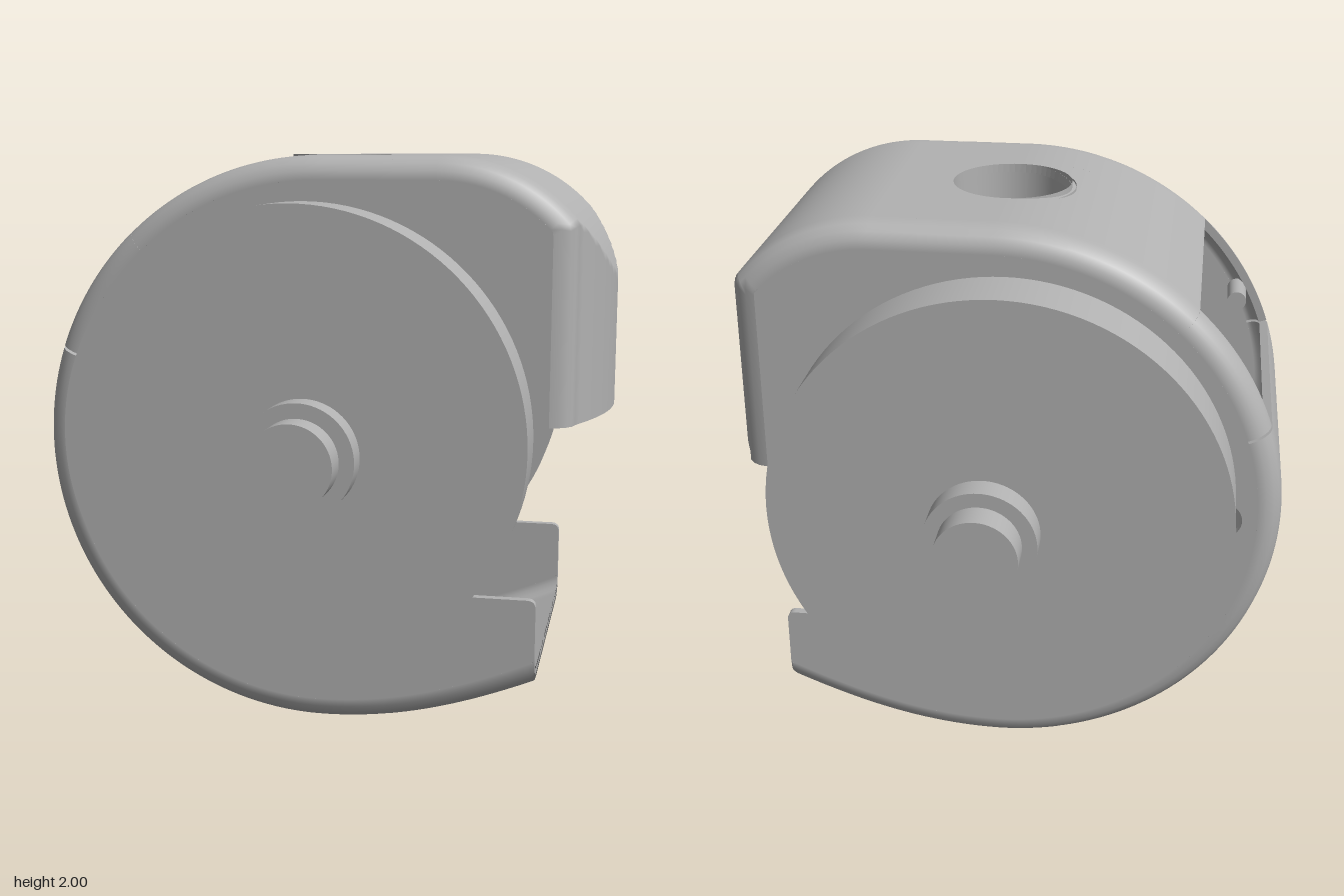
import * as THREE from 'three';

const grey = new THREE.MeshStandardMaterial({ color: 0xb2b2b2, side: THREE.DoubleSide });
grey.name = 'plain grey';

const AXLE_Y = 1.035;
const HALF = 0.55;              // half width of the housing
const ROUND = 0.08;             // edge rounding
const WALL = 0.03;              // wall thickness
const FLAT = HALF - ROUND;
const V_END = FLAT + ROUND * Math.PI / 2;

// Side outline of the housing, from the upper lip round the back to the lower lip
const outline = new THREE.Path();
outline.moveTo(1, 1.12);
outline.lineTo(1, 1.4);
outline.absarc(0.4, 1.4, 0.6, 0, Math.PI / 2, false);
outline.lineTo(0, 2);
outline.absarc(0, 1.025, 0.975, Math.PI / 2, Math.PI * 1.5, false);
outline.bezierCurveTo(0.3, 0.05, 0.55, 0.14, 0.8, 0.25);
const LEN = outline.getLength();
const TOP_S = 0.28 + 0.3 * Math.PI + 0.4;
const BOTTOM_S = TOP_S + 0.975 * Math.PI;

// Bowed front face of the upper lip, as seen in plan
function bow(z) {
  const a = Math.abs(z);
  const e = Math.min(Math.max((a - FLAT) / ROUND, 0), 1);
  return 0.97 - 0.5 * Math.min(a, FLAT) ** 2 - ROUND * (1 - Math.sqrt(1 - e * e));
}

// Point and normal of the skin: s along the outline, v across it, d below the surface
function skin(s, v, d) {
  const t = Math.min(Math.max(s / LEN, 0), 1);
  const c = outline.getPoint(t), g = outline.getTangent(t);
  const a = Math.max(Math.abs(v) - FLAT, 0) / ROUND, side = Math.sign(v);
  const off = -ROUND + (ROUND - d) * Math.cos(a);
  const p = new THREE.Vector3(c.x + g.y * off, c.y - g.x * off,
    a > 0 ? side * (FLAT + (ROUND - d) * Math.sin(a)) : v);
  const n = new THREE.Vector3(g.y * Math.cos(a), -g.x * Math.cos(a), side * Math.sin(a));
  if (p.y > 1 && p.x > bow(p.z) - d) {
    p.x = bow(p.z) - d;
    const h = 0.002;
    n.set(1, 0, -(bow(p.z + h) - bow(p.z - h)) / (2 * h)).normalize();
  } else if (p.y < 1 && p.x > 0.75) p.x = 0.75;
  return { p, n };
}

// Thick curved panel over a patch of the skin; map turns (a, b) in 0..1 into [s, v]
function panel(map, na, nb) {
  const pos = [], nor = [];
  const at = (i, j, d) => skin(...map(i / na, j / nb), d);
  const put = (q, flip) => { pos.push(...q.p.toArray()); nor.push(...q.n.clone().multiplyScalar(flip).toArray()); };
  const quad = (A, B, C, D, f) => [A, B, C, A, C, D].forEach((q) => put(q, f));
  for (let i = 0; i < na; i++) for (let j = 0; j < nb; j++) {
    const o = [[i, j], [i + 1, j], [i + 1, j + 1], [i, j + 1]];
    quad(...o.map(([x, y]) => at(x, y, 0)), 1);
    quad(...o.reverse().map(([x, y]) => at(x, y, WALL)), -1);
  }
  const rim = [];
  for (let i = 0; i < na; i++) rim.push([i, 0]);
  for (let j = 0; j < nb; j++) rim.push([na, j]);
  for (let i = na; i > 0; i--) rim.push([i, nb]);
  for (let j = nb; j > 0; j--) rim.push([0, j]);
  rim.forEach((r, k) => {
    const q = rim[(k + 1) % rim.length];
    const c = [at(...r, WALL), at(...q, WALL), at(...q, 0), at(...r, 0)];
    const n = c[1].p.clone().sub(c[0].p).cross(c[3].p.clone().sub(c[0].p)).normalize();
    quad(...c.map(({ p }) => ({ p, n })), 1);
  });
  const geo = new THREE.BufferGeometry();
  geo.setAttribute('position', new THREE.Float32BufferAttribute(pos, 3));
  geo.setAttribute('normal', new THREE.Float32BufferAttribute(nor, 3));
  return geo;
}

function add(parent, name, geo, x = 0, y = 0, z = 0) {
  const m = new THREE.Mesh(geo, grey);
  m.name = name;
  m.position.set(x, y, z);
  parent.add(m);
  return m;
}

const cyl = (r, h, n = 64) => new THREE.CylinderGeometry(r, r, h, n);
const cylZ = (r, h) => cyl(r, h, 72).rotateX(Math.PI / 2);

function housing() {
  const g = new THREE.Group();
  g.name = 'housing';
  const B = 0.25;
  const strip = (name, s0, s1, v0, v1) => add(g, name,
    panel((a, b) => [s0 + (s1 - s0) * a, v0 + (v1 - v0) * b],
      Math.ceil((s1 - s0) / 0.03), Math.max(8, Math.ceil((v1 - v0) / 0.03))));
  const slot0 = TOP_S + 0.732, slot1 = TOP_S + 1.215;
  strip('upperLip', 0, TOP_S - B, -V_END, V_END);
  strip('upperBack', TOP_S + B, slot0, -V_END, V_END);
  strip('backShell', slot1, BOTTOM_S - B, -V_END, V_END);
  strip('lowerLip', BOTTOM_S + B, LEN, -V_END, V_END);
  // strips beside the round holes, and square patches holding the holes
  for (const s of [TOP_S, BOTTOM_S]) {
    strip('holeSide', s - B, s + B, -V_END, -B);
    strip('holeSide', s - B, s + B, B, V_END);
    add(g, 'holeSurround', panel((a, b) => {
      const c = Math.cos(b * 2 * Math.PI), n = Math.sin(b * 2 * Math.PI);
      const r = 0.205 * (1 - a) + a * B / Math.max(Math.abs(c), Math.abs(n));
      return [s + r * c, r * n];
    }, 3, 64));
  }
  // narrow edges beside the back slot, ending in a fine slit
  strip('slotSide', slot0, slot1 - 0.01, -V_END, -FLAT);
  strip('slotSide', slot0, slot1 - 0.01, FLAT, V_END);

  // side walls with a large open centre
  const pts = [];
  for (let i = 0; i <= 180; i++) {
    const { p } = skin(LEN * i / 180, V_END, 0);
    pts.push(new THREE.Vector2(p.x, p.y));
  }
  const wall = new THREE.Shape(pts);
  wall.lineTo(0.75, 0.5);
  wall.quadraticCurveTo(0.75, 0.53, 0.72, 0.53);
  wall.absarc(0, 1.025, 0.68, 2 * Math.PI - 0.815, 0.14, true);
  const peep = new THREE.Path();
  peep.absarc(-0.78, 1.02, 0.065, 0, Math.PI * 2, true);
  wall.holes.push(peep);
  const geo = new THREE.ExtrudeGeometry(wall, { depth: WALL, bevelEnabled: false, curveSegments: 64 });
  for (const s of [-1, 1]) {
    add(g, 'sideWall', geo, 0, 0, s > 0 ? HALF - WALL : -HALF);
    add(g, 'slotPeg', cylZ(0.035, 0.15), -0.8, 1.46, s * 0.43);
  }
  return g;
}

// Bevel gear with its teeth pointing up and inwards
function bevelGear() {
  const tip = [[0, -0.475], [0.41, -0.475], [0.51, -0.385], [0.42, -0.225], [0.25, -0.29], [0, -0.29]];
  const root = { 2: [0.43, -0.46], 3: [0.33, -0.3] };
  const teeth = 20;
  const geo = new THREE.LatheGeometry(tip.map((p) => new THREE.Vector2(...p)), teeth * 4);
  const pos = geo.attributes.position;
  for (let k = 0; k < pos.count; k++) {
    const col = Math.floor(k / tip.length), j = k % tip.length;
    if (col % 4 > 1 || !root[j]) continue;
    const a = col / (teeth * 4) * Math.PI * 2;
    pos.setXYZ(k, Math.sin(a) * root[j][0], root[j][1], Math.cos(a) * root[j][0]);
  }
  const flat = geo.toNonIndexed();
  flat.computeVertexNormals();
  return flat;
}

// Gear, nut, shaft and recessed cup hanging below the axle
function gearAssembly() {
  const g = new THREE.Group();
  g.name = 'gearAssembly';
  add(g, 'bevelGear', bevelGear());
  add(g, 'gearHub', cyl(0.13, 0.06), 0, -0.5, 0);
  const nut = cyl(0.2, 0.19, 6).toNonIndexed();
  nut.computeVertexNormals();
  add(g, 'hexNut', nut, 0, -0.605, 0);
  add(g, 'gearShaft', cyl(0.075, 0.5), 0, -0.6, 0);
  const cup = [[0.205, -0.965], [0.205, -0.8], [0.11, -0.8], [0.11, -0.765], [0.22, -0.765], [0.22, -0.95]];
  cup.slice(0, -1).forEach((p, i) => add(g, 'recessCup',
    new THREE.LatheGeometry([new THREE.Vector2(...p), new THREE.Vector2(...cup[i + 1])], 64)));
  return g;
}

export function createModel() {
  const model = new THREE.Group();
  model.name = 'gearedWheelUnit';
  model.add(housing());

  // Axle, wheels and end caps
  add(model, 'axleSleeve', cylZ(0.245, 0.72), 0, AXLE_Y, 0);
  add(model, 'axle', cylZ(0.19, 1.69), 0, AXLE_Y, 0);
  add(model, 'axleEnds', cylZ(0.14, 1.89), 0, AXLE_Y, 0);
  for (const s of [-1, 1]) {
    add(model, 'wheel', new THREE.CylinderGeometry(0.775, 0.775, 0.205, 128).rotateX(Math.PI / 2),
      -0.045, 1.075, s * 0.6535);
  }

  // Lower and upper gears
  const lower = gearAssembly(), upper = gearAssembly();
  lower.position.y = upper.position.y = AXLE_Y;
  upper.rotation.x = Math.PI;
  model.add(lower, upper);

  // Slotted screw below, small shaft end in the top recess
  const screw = new THREE.Group();
  screw.name = 'slottedScrew';
  add(screw, 'screwBody', cyl(0.14, 0.22), 0, 0.155, 0);
  const e = Math.asin(0.018 / 0.14);
  const half = new THREE.Shape();
  half.absarc(0, 0, 0.14, e, Math.PI - e, false);
  half.closePath();
  const halfGeo = new THREE.ExtrudeGeometry(half, { depth: 0.045, bevelEnabled: false, curveSegments: 32 });
  halfGeo.rotateX(-Math.PI / 2);
  for (const k of [0, 1]) add(screw, 'screwHeadHalf', halfGeo).rotation.y = k * Math.PI;
  screw.rotation.y = 0.7;
  model.add(screw);
  add(model, 'topShaftEnd', cyl(0.06, 0.14), 0, 1.78, 0);
  return model;
}
